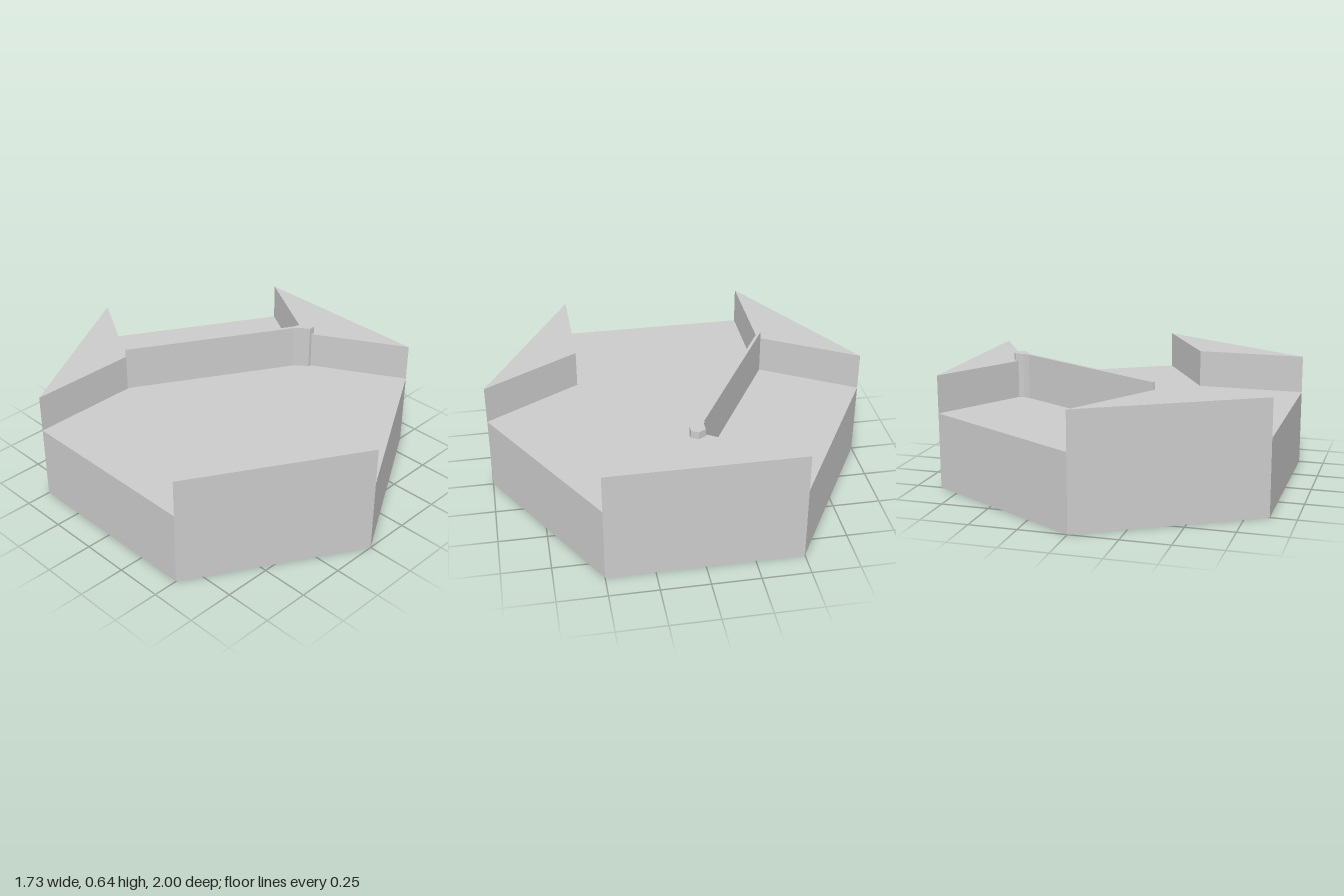
import * as THREE from 'three';

const BASE_H = 0.4, CORNER_H = 0.6, WALL_TOP = 0.64;
const material = new THREE.MeshStandardMaterial({ color: 0xcccccc, flatShading: true });

// Upright prism over a plan outline of [x, z] points, from y0 to y1
function prism(name, outline, y0, y1) {
  const shape = new THREE.Shape(outline.map(([x, z]) => new THREE.Vector2(x, -z)));
  const geometry = new THREE.ExtrudeGeometry(shape, { depth: y1 - y0, bevelEnabled: false });
  geometry.rotateX(-Math.PI / 2).translate(0, y0, 0);
  const mesh = new THREE.Mesh(geometry, material);
  mesh.name = name;
  return mesh;
}

const polar = (radius, degrees) => {
  const a = THREE.MathUtils.degToRad(degrees);
  return [radius * Math.cos(a), radius * Math.sin(a)];
};

export function createModel() {
  const group = new THREE.Group();
  group.name = 'hexTile';

  // Three raised triangular corners on alternate sides of the hexagon
  const innerRadius = 1 / Math.sqrt(3);
  const floorOutline = [];
  ['leftCorner', 'frontCorner', 'backCorner'].forEach((name, i) => {
    const mid = i * 120;
    const corner = [polar(1, mid - 30), polar(innerRadius, mid), polar(1, mid + 30)];
    floorOutline.push(...corner);
    group.add(prism(name, corner, 0, CORNER_H));
  });

  // Lower floor filling the space between the corners
  group.add(prism('floor', floorOutline, 0, BASE_H));

  // Thin dividing wall that flares into a hexagonal post at one end
  group.add(prism('dividingWall', [
    [-0.287, -0.504], [-0.278, -0.517],
    [0.535, -0.048], [0.57, -0.038], [0.615, -0.038], [0.636, 0],
    [0.616, 0.035], [0.581, 0.035], [0.56, 0.002], [0.525, -0.034],
  ], BASE_H, WALL_TOP));

  return group;
}
